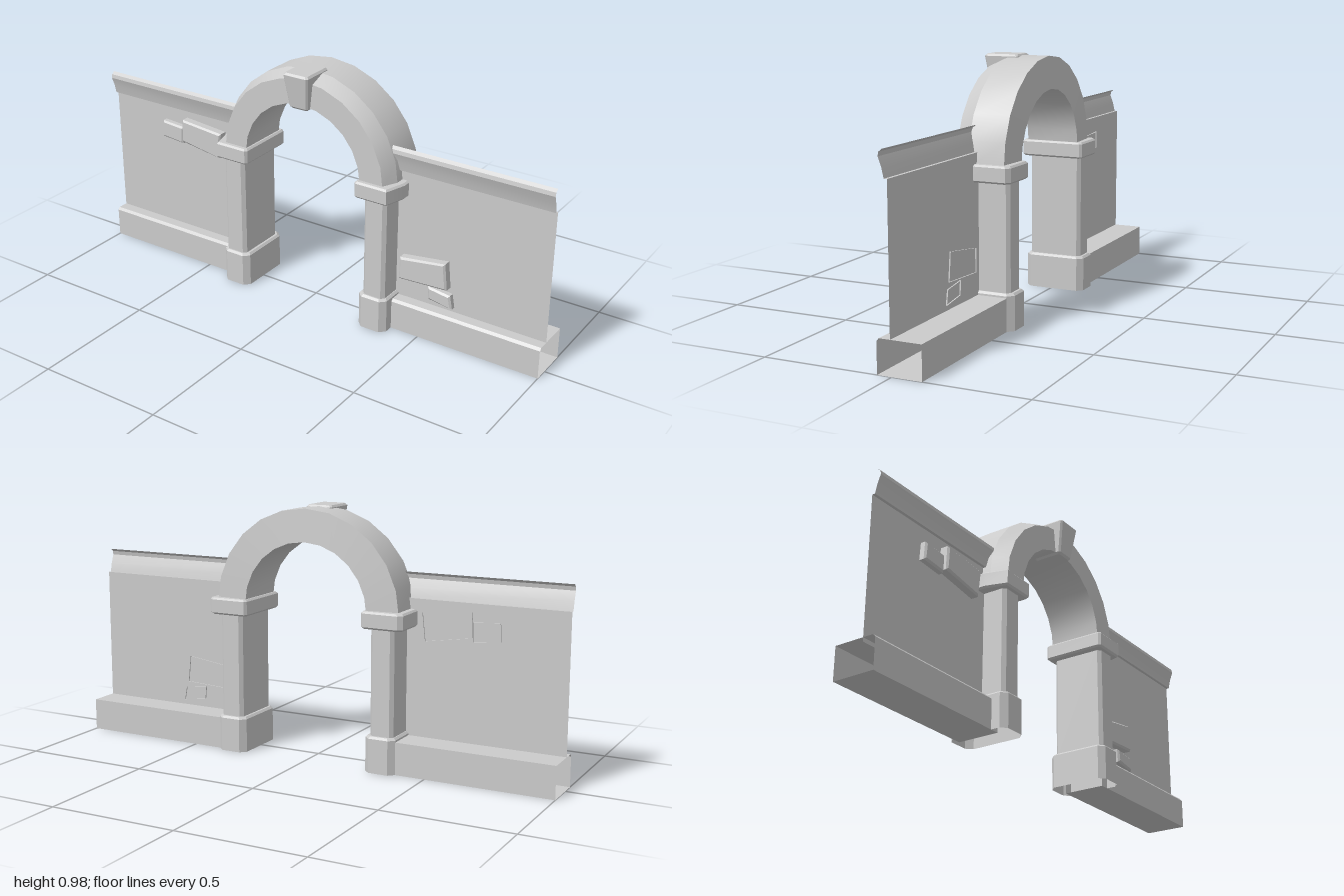
import * as THREE from 'three';
import { toCreasedNormals } from 'three/addons/utils/BufferGeometryUtils.js';

const material = new THREE.MeshStandardMaterial({ color: 0xcccccc, side: THREE.DoubleSide });

// Skin a stack of matching rings of [x, y, z] points, with optional flat ends.
function loft(name, rings, { closed = true, start = false, end = false } = {}) {
  const n = rings[0].length;
  const pos = [];
  const tri = (a, b, c) => pos.push(...a, ...b, ...c);
  for (let r = 0; r < rings.length - 1; r++) {
    const a = rings[r], b = rings[r + 1];
    for (let i = 0; i < (closed ? n : n - 1); i++) {
      const j = (i + 1) % n;
      tri(a[i], a[j], b[j]);
      tri(a[i], b[j], b[i]);
    }
  }
  const first = rings[0], last = rings[rings.length - 1];
  for (let i = 1; i < n - 1; i++) {
    if (start) tri(first[0], first[i + 1], first[i]);
    if (end) tri(last[0], last[i], last[i + 1]);
  }
  const geometry = new THREE.BufferGeometry();
  geometry.setAttribute('position', new THREE.Float32BufferAttribute(pos, 3));
  const mesh = new THREE.Mesh(toCreasedNormals(geometry, 0.35), material);
  mesh.name = name;
  return mesh;
}

// Plan of a rectangle with cut corners, counter-clockwise from above.
function chamferPlan(x0, x1, z0, z1, c) {
  return [[x1 - c, z1], [x1, z1 - c], [x1, z0 + c], [x1 - c, z0],
    [x0 + c, z0], [x0, z0 + c], [x0, z1 - c], [x0 + c, z1]];
}

// Stand a plan up through levels [y, inset]; side -1 mirrors it to the right.
function prism(name, plan, levels, side, ends) {
  const xs = plan.map(p => p[0]), zs = plan.map(p => p[1]);
  const mid = v => (Math.max(...v) + Math.min(...v)) / 2;
  const half = v => (Math.max(...v) - Math.min(...v)) / 2;
  const cx = mid(xs), cz = mid(zs), hx = half(xs), hz = half(zs);
  const rings = levels.map(([y, inset]) => {
    const ring = plan.map(([x, z]) => [
      side * (cx + (x - cx) * (1 - inset / hx)), y, cz + (z - cz) * (1 - inset / hz)]);
    return side < 0 ? ring.reverse() : ring;
  });
  return loft(name, rings, ends);
}

function createPillar(side) {
  const pillar = new THREE.Group();
  pillar.name = side > 0 ? 'leftPillar' : 'rightPillar';
  pillar.add(prism('pillarBase', chamferPlan(0.26, 0.383, -0.135, 0.112, 0.022),
    [[0, 0], [0.132, 0], [0.14, 0.008]], side, { end: true }));
  pillar.add(prism('pillarShaft', chamferPlan(0.277, 0.372, -0.118, 0.099, 0.013),
    [[0.13, 0], [0.56, 0]], side));
  // The capital's outer front corner is cut back at a long slant.
  const capPlan = [[0.387, 0.121], [0.413, 0.035], [0.413, -0.122], [0.395, -0.137],
    [0.253, -0.137], [0.245, -0.127], [0.245, 0.111], [0.253, 0.121]];
  pillar.add(prism('pillarCapital', capPlan,
    [[0.545, 0.007], [0.552, 0], [0.603, 0], [0.61, 0.007]], side, { start: true, end: true }));
  return pillar;
}

function createWall(side) {
  const wall = new THREE.Group();
  wall.name = side > 0 ? 'leftWall' : 'rightWall';
  const along = (name, profile, inner, closed) => {
    const ends = [side, side * inner].sort((a, b) => a - b);
    return loft(name, ends.map(x => profile.map(([y, z]) => [x, y, z])), { closed });
  };
  // Thin panel, flared coping and open-ended plinth, as [y, z] profiles.
  wall.add(along('wallPanel', [[0.65, 0.004], [0.11, 0.004]], 0.33, false));
  wall.add(along('wallCoping',
    [[0.745, 0.022], [0.735, 0.034], [0.72, 0.037], [0.685, 0.024], [0.65, 0.016], [0.65, 0.004]], 0.33, false));
  wall.add(along('wallPlinth',
    [[0, -0.113], [0.125, -0.113], [0.125, 0.046], [0.115, 0.055], [0, 0.055]], 0.345, true));
  return wall;
}

// Semicircular arch: one [radius, z] section swept over twelve segments.
function createArch() {
  const section = [[0.352, 0.1], [0.38, 0.04], [0.38, -0.105], [0.255, -0.114], [0.255, 0.1]];
  const rings = [];
  for (let i = 0; i <= 12; i++) {
    const a = Math.PI * i / 12;
    rings.push(section.map(([r, z]) => [1.02 * r * Math.cos(a), 0.592 + r * Math.sin(a), z]));
  }
  return loft('arch', rings, { start: true, end: true });
}

// Wedge-shaped keystone, wider and further forward at the top.
function createKeystone() {
  const levels = [[0.834, 0.034, 0.007, 0.112], [0.842, 0.041, 0, 0.12],
    [0.968, 0.055, 0, 0.14], [0.976, 0.048, 0.007, 0.133]];
  const rings = levels.map(([y, w, back, front]) => {
    const c = 0.007;
    return chamferPlan(-w, w, back, front, c).map(([x, z]) => [x, y, z]);
  });
  return loft('keystone', rings, { start: true, end: true });
}

// Raised wall stone: corners counter-clockwise from the front, open at the back.
function createStone(corners, depth) {
  const cx = corners.reduce((s, p) => s + p[0], 0) / 4;
  const cy = corners.reduce((s, p) => s + p[1], 0) / 4;
  const ring = (z, inset) => corners.map(([x, y]) => [
    x - Math.sign(x - cx) * inset, y - Math.sign(y - cy) * inset, z]);
  return loft('wallStone', [ring(-0.001, 0), ring(depth - 0.007, 0), ring(depth, 0.007)], { end: true });
}

export function createModel() {
  const model = new THREE.Group();
  model.name = 'archedGateway';
  for (const side of [1, -1]) model.add(createPillar(side), createWall(side));
  model.add(createArch(), createKeystone());
  model.add(
    createStone([[-0.635, 0.522], [-0.447, 0.493], [-0.435, 0.6], [-0.63, 0.617]], 0.04),
    createStone([[-0.745, 0.517], [-0.637, 0.508], [-0.635, 0.58], [-0.74, 0.587]], 0.03),
    createStone([[0.4, 0.214], [0.605, 0.224], [0.594, 0.331], [0.402, 0.305]], 0.04),
    createStone([[0.525, 0.159], [0.625, 0.145], [0.615, 0.2], [0.52, 0.212]], 0.03),
  );
  return model;
}
